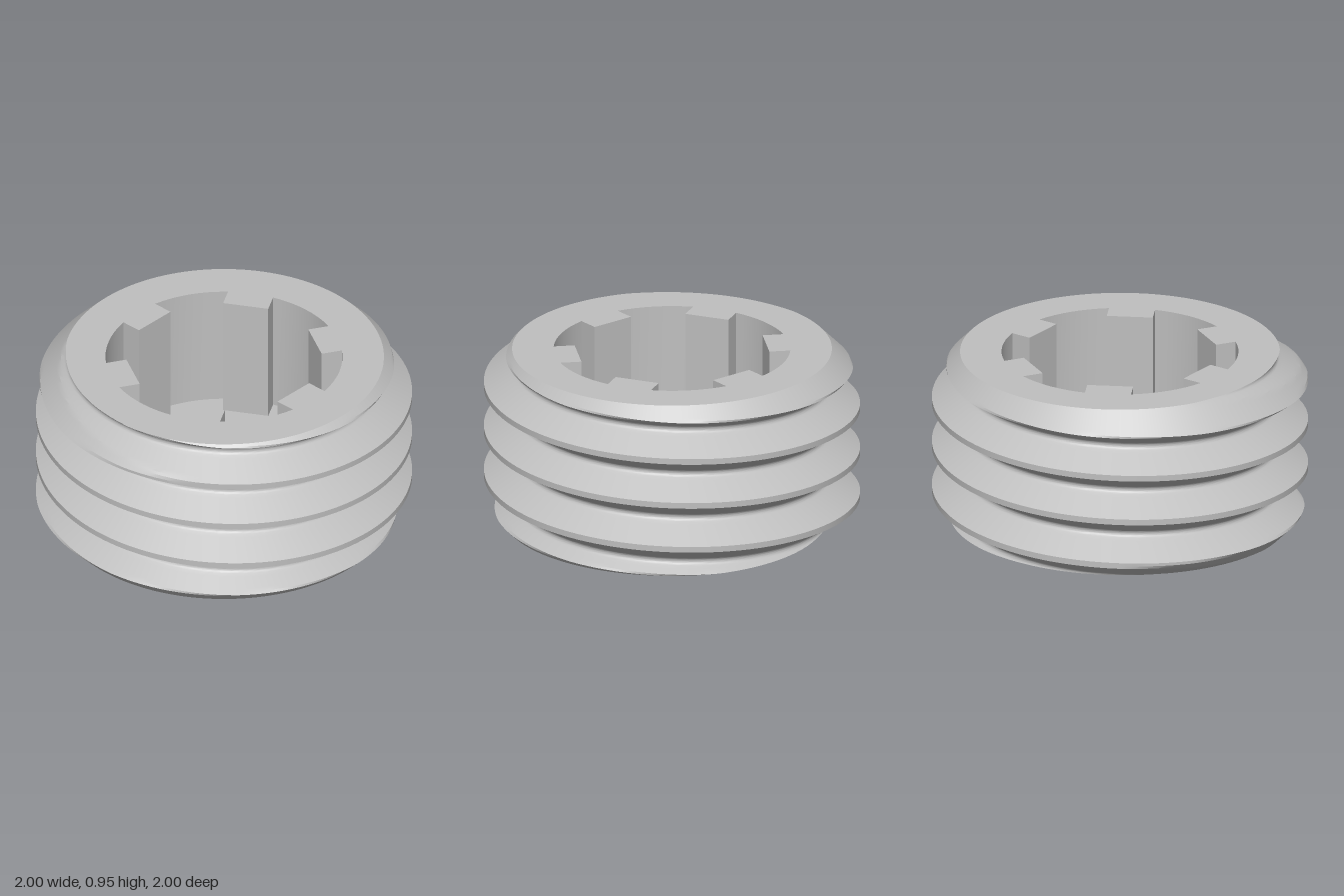
import * as THREE from 'three';
import { toCreasedNormals } from 'three/addons/utils/BufferGeometryUtils.js';

const HEIGHT = 0.95, PITCH = 0.25, COLUMNS = 180;
const CREST_Y = 0.245; // height of one crest at +x
const ROOT = 0.024; // fillet radius of the thread root
const FLAT = 0.016, TANGENT = 0.104; // offsets from the crest where flank and fillet start

// thread radius at offset d above or below the nearest crest
function threadRadius(d) {
  if (d <= FLAT) return 1;
  if (d <= TANGENT) return 1 - (d - FLAT) * Math.sqrt(3);
  return 0.859 - Math.sqrt(Math.max(0, ROOT ** 2 - (PITCH / 2 - d) ** 2));
}

// body radius at a turn fraction and height, cut by the end chamfers
function bodyRadius(turn, y) {
  const u = (y - CREST_Y) / PITCH - turn;
  const d = Math.abs(u - Math.round(u)) * PITCH;
  return Math.min(threadRadius(d), 0.85 + HEIGHT - y, 0.9 + y);
}

// offsets of the profile rows within one pitch
function profileOffsets() {
  const half = [0];
  for (let i = 0; i <= 8; i++) half.push(FLAT + (TANGENT - FLAT) * i / 8);
  for (let i = 1; i <= 5; i++) half.push(PITCH / 2 - ROOT * Math.sin(Math.PI / 3 * (1 - i / 5)));
  const mirrored = half.slice(1, -1).reverse().map((d) => PITCH - d);
  return [...half, ...mirrored];
}

// skin over columns of points, leaving out collapsed triangles
function skin(columns, crease) {
  const positions = [];
  const tri = (a, b, c) => {
    const area = b.clone().sub(a).cross(c.clone().sub(a)).length();
    if (area > 1e-8) positions.push(...a, ...b, ...c);
  };
  for (let i = 0; i < columns.length - 1; i++) {
    const p = columns[i], q = columns[i + 1];
    for (let j = 0; j < p.length - 1; j++) {
      tri(p[j], p[j + 1], q[j]);
      tri(q[j], p[j + 1], q[j + 1]);
    }
  }
  const geometry = new THREE.BufferGeometry();
  geometry.setAttribute('position', new THREE.Float32BufferAttribute(positions, 3));
  return toCreasedNormals(geometry, crease);
}

// socket outline with six square ribs, as [x, z]
function socketOutline() {
  const R = 0.63, RIB = 0.505, W = 0.123, points = [];
  const edge = Math.asin(W / R), ox = R * Math.cos(edge);
  for (let k = 0; k < 6; k++) {
    const a = k * Math.PI / 3, c = Math.cos(a), s = Math.sin(a);
    for (const [x, z] of [[ox, -W], [RIB, -W], [RIB, W], [ox, W]]) {
      points.push([x * c - z * s, x * s + z * c]);
    }
    for (let i = 1; i < 8; i++) {
      const t = a + edge + (Math.PI / 3 - 2 * edge) * i / 8;
      points.push([R * Math.cos(t), R * Math.sin(t)]);
    }
  }
  return points;
}

export function createModel() {
  const group = new THREE.Group();
  const steel = new THREE.MeshStandardMaterial({ color: 0xbfbfbf });
  steel.name = 'steel grey';
  const add = (name, geometry) => {
    const mesh = new THREE.Mesh(geometry, steel);
    mesh.name = name;
    group.add(mesh);
    return mesh;
  };

  // helical thread, clamped to the two end planes
  const offsets = profileOffsets(), columns = [];
  for (let i = 0; i <= COLUMNS; i++) {
    const turn = i / COLUMNS, t = turn * Math.PI * 2, column = [];
    for (let k = -3; k <= 4; k++) {
      for (const d of offsets) {
        const y = THREE.MathUtils.clamp(CREST_Y + (k + turn) * PITCH + d, 0, HEIGHT);
        const r = bodyRadius(turn, y);
        column.push(new THREE.Vector3(r * Math.cos(t), y, r * Math.sin(t)));
      }
    }
    columns.push(column);
  }
  add('thread', skin(columns, 0.25));

  // end faces follow the thread cut at their height
  const endOutline = (y, sign) => Array.from({ length: COLUMNS }, (_, i) => {
    const turn = i / COLUMNS, t = turn * Math.PI * 2, r = bodyRadius(turn, y);
    return new THREE.Vector2(r * Math.cos(t), sign * r * Math.sin(t));
  });
  const outline = socketOutline();
  const flat = outline.map(([x, z]) => new THREE.Vector2(x, -z));

  const topShape = new THREE.Shape(endOutline(HEIGHT, -1));
  topShape.holes.push(new THREE.Path(flat));
  add('topFace', new THREE.ShapeGeometry(topShape).rotateX(-Math.PI / 2)).position.y = HEIGHT;
  add('bottomFace', new THREE.ShapeGeometry(new THREE.Shape(endOutline(0, 1))).rotateX(Math.PI / 2));

  // blind socket
  const floorY = 0.27;
  const wall = [...outline, outline[0]].map(([x, z]) => [
    new THREE.Vector3(x, HEIGHT, z), new THREE.Vector3(x, floorY, z),
  ]);
  add('socketWall', skin(wall, 0.4));
  add('socketFloor', new THREE.ShapeGeometry(new THREE.Shape(flat)).rotateX(-Math.PI / 2)).position.y = floorY;

  return group;
}
